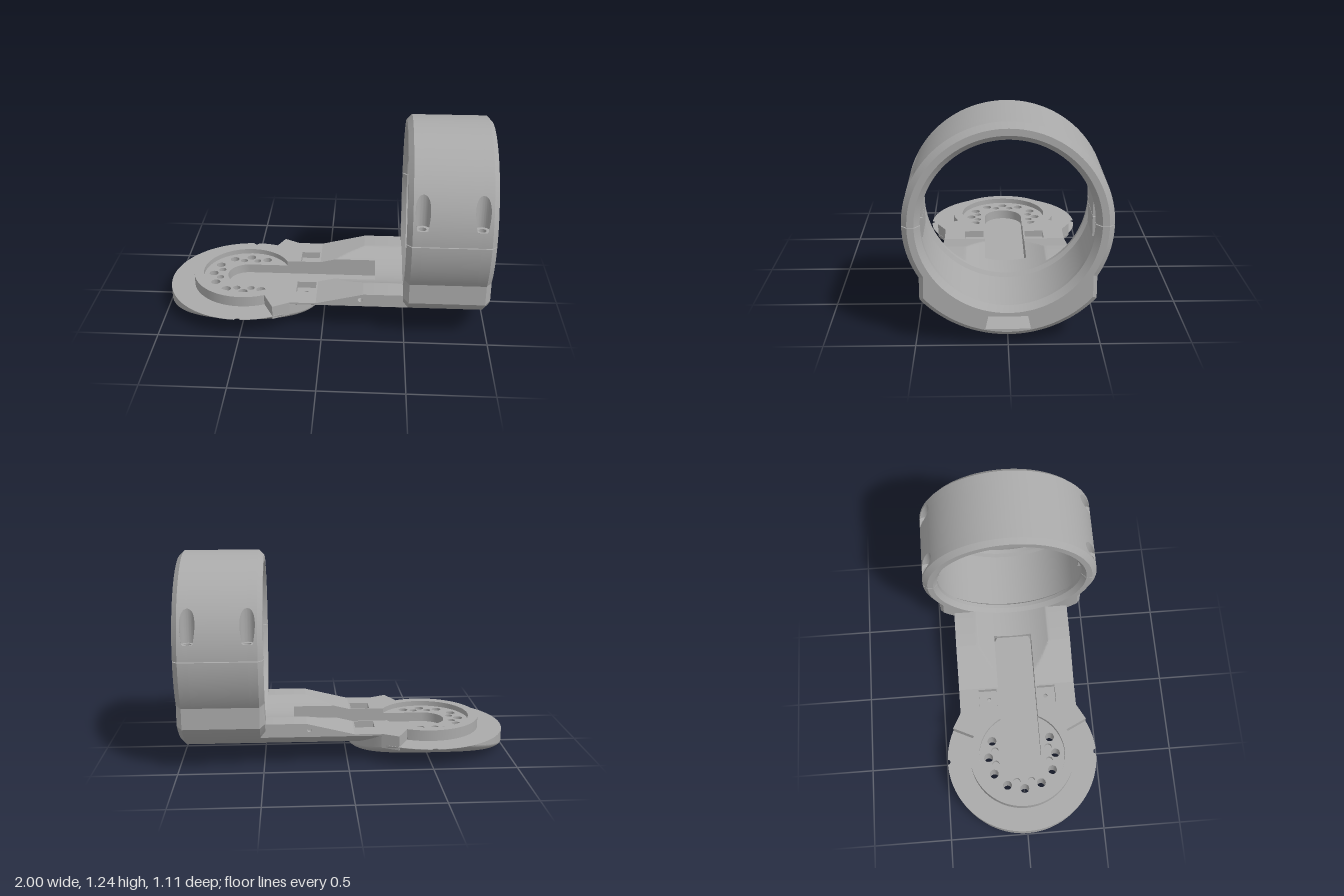
import * as THREE from 'three';
import { toCreasedNormals } from 'three/addons/utils/BufferGeometryUtils.js';
import { RoundedBoxGeometry } from 'three/addons/geometries/RoundedBoxGeometry.js';

const PI = Math.PI, CX = -0.51, DISC_R = 0.49, TOP = 0.187, LEDGE = 0.12, RECESS = 0.155, FLOOR = 0.096;
const CL = 0.681, CU = 0.686, RING_R = 0.557, LOW_R = 0.633, SLOT = 0.125, ARM = 0.385;
const X0 = 0.49, X1 = 1, CH = 0.03;

const lin = (a, b, n) => Array.from({ length: n + 1 }, (_, i) => a + (b - a) * i / n);
const clamp = (v) => Math.min(1, Math.max(0, v));

// surface through f(u, v) over two lists of parameters
function grid(us, vs, f) {
  const pos = [], idx = [], m = vs.length;
  us.forEach((u) => vs.forEach((v) => pos.push(...f(u, v))));
  for (let i = 0; i < us.length - 1; i++) for (let j = 0; j < m - 1; j++) {
    const a = i * m + j, b = a + m;
    idx.push(a, b, a + 1, b, b + 1, a + 1);
  }
  const g = new THREE.BufferGeometry();
  g.setAttribute('position', new THREE.Float32BufferAttribute(pos, 3));
  g.setIndex(idx);
  g.computeVertexNormals();
  return toCreasedNormals(g, 0.4);
}

// flat shape drawn in (x, z), laid at height y (number or rule)
function plate(shape, y) {
  const g = new THREE.ShapeGeometry(shape, 12), p = g.attributes.position;
  for (let i = 0; i < p.count; i++) {
    const x = p.getX(i), z = p.getY(i);
    p.setXYZ(i, x, typeof y === 'number' ? y : y(x, z), z);
  }
  const ix = g.index.array;
  for (let i = 0; i < ix.length; i += 3) [ix[i], ix[i + 1]] = [ix[i + 1], ix[i]];
  g.computeVertexNormals();
  return g;
}

const circle = (x, z, r) => new THREE.Path().absarc(x, z, r, 0, 2 * PI, true);
const tube = (x, z, r, lo, hi) => grid(lin(0, 2 * PI, 24), [0, 1], (a, t) => {
  const px = x + r * Math.cos(a), pz = z + r * Math.sin(a);
  const l = typeof lo === 'number' ? lo : lo(px, pz), h = typeof hi === 'number' ? hi : hi(px, pz);
  return [px, l + (h - l) * t, pz];
});

// underside of the disc, underside of the arm, upper face of the arm
function discBottom(x, z) {
  const t = clamp((Math.hypot(x - CX, z) - 0.38) / 0.11);
  return Math.min(0.118, z * z / 2.3 + 0.04 * (1 - Math.sqrt(1 - t * t)));
}
const armBottom = (z) => CL - Math.sqrt(LOW_R ** 2 - z * z);
const armTop = (x, z) => Math.min(TOP + 0.071 * clamp((x + 0.04) / 0.29),
  Math.abs(z) < 0.486 ? CL - Math.sqrt(0.486 ** 2 - z * z) : 9);

export function createModel() {
  const model = new THREE.Group();
  const grey = new THREE.MeshStandardMaterial({ color: 0xaaaaaa, side: THREE.DoubleSide });
  grey.name = 'grey';
  const add = (name, geo) => {
    const m = new THREE.Mesh(geo, grey);
    m.name = name;
    model.add(m);
    return m;
  };

  // --- disc: rounded underside, rim with two notches, ledge
  const edge = (a) => {
    const d = DISC_R * (Math.abs(a) - PI / 2);
    return DISC_R - Math.sqrt(Math.max(0, 0.017 ** 2 - d * d));
  };
  const polar = (a, r) => [CX + r * Math.cos(a), r * Math.sin(a)];
  const notch = lin(-0.036, 0.036, 10);
  const turns = [...lin(-PI, PI, 144), ...notch.map((d) => d + PI / 2), ...notch.map((d) => d - PI / 2)].sort((a, b) => a - b);
  const under = (a, r) => { const [x, z] = polar(a, r); return [x, discBottom(x, z), z]; };
  add('discUnderside', grid(turns, lin(0, 1, 20), (a, t) => under(a, 0.27 + (edge(a) - 0.27) * Math.sin(t * PI / 2))));
  add('discCentre', grid(lin(-PI, PI, 144), lin(0, 0.17, 4), under));
  add('discRim', grid(turns, [0, 1], (a, t) => {
    const [x, z] = polar(a, edge(a)), lo = discBottom(x, z);
    const hi = Math.abs(a) < 0.9 ? armBottom(z) + 0.01 : LEDGE;
    return [x, lo + (hi - lo) * t, z];
  }));
  for (const s of [1, -1]) add('discLedge', grid(turns.filter((a) => a > 0.88), [0, 1], (a, t) => {
    const [x, z] = polar(a, 0.3 + (edge(a) - 0.3) * t);
    return [x, LEDGE, s * z];
  }));

  // --- through holes and the sectors of the underside around them
  const through = [], blind = [];
  for (let k = 0; k < 12; k++) {
    const a = k * PI / 6, s = new THREE.Shape();
    s.absarc(CX, 0, 0.27, a - PI / 12, a + PI / 12, false);
    s.absarc(CX, 0, 0.17, a + PI / 12, a - PI / 12, true);
    if (k > 1 && k < 11) {
      const [x, z] = polar(a, 0.22);
      through.push([x, z]);
      s.holes.push(circle(x, z, 0.029));
      add('throughHole', tube(x, z, 0.029, discBottom, RECESS));
    }
    add('discSector', plate(s, discBottom));
  }
  for (const s of [1, -1]) for (const [x, z] of [[-0.68, 0.048], [-0.555, 0.175], [-0.465, 0.175]]) {
    blind.push([x, s * z]);
    add('blindHole', tube(x, s * z, 0.023, 0.12, RECESS));
    add('blindHoleFloor', plate(new THREE.Shape().absarc(x, s * z, 0.023, 0, 2 * PI), 0.12));
  }

  // --- recess floor and wall
  const beta = Math.asin(SLOT / 0.28), mouth = CX + 0.28 * Math.cos(beta);
  const recess = new THREE.Shape();
  recess.absarc(CX, 0, 0.28, beta, 2 * PI - beta, false);
  recess.lineTo(CX, -SLOT);
  recess.absarc(CX, 0, SLOT, -PI / 2, PI / 2, true);
  through.forEach(([x, z]) => recess.holes.push(circle(x, z, 0.029)));
  blind.forEach(([x, z]) => recess.holes.push(circle(x, z, 0.023)));
  add('recessFloor', plate(recess, RECESS));
  add('recessWall', grid(lin(beta, 2 * PI - beta, 72), [RECESS, TOP], (a, y) => { const [x, z] = polar(a, 0.28); return [x, y, z]; }));

  // --- raised collar with wings, flat upper face and pockets
  const half = [[-0.2, ARM], [-0.3, 0.44], [-0.365, 0.305]];
  const outline = [...half, ...lin(1.14, 2 * PI - 1.14, 72).map((a) => polar(a, 0.34)),
    ...half.map(([x, z]) => [x, -z]).reverse()];
  add('collarWall', grid(outline, [0.1, TOP], ([x, z], y) => [x, y, z]));
  const inner = lin(2 * PI - beta, beta, 72).map((a) => polar(a, 0.28));
  const deck = new THREE.Shape([[-0.04, ARM], ...outline, [-0.04, -ARM], [-0.04, -SLOT], ...inner, [-0.04, SLOT]]
    .map(([x, z]) => new THREE.Vector2(x, z)));
  for (const s of [1, -1]) {
    const c = [[-0.17, 0.135], [-0.05, 0.135], [-0.05, 0.255], [-0.17, 0.255]].map(([x, z]) => new THREE.Vector2(x, s * z));
    deck.holes.push(new THREE.Path(c));
    const floor = new THREE.Shape(c);
    floor.holes.push(circle(-0.11, s * 0.19, 0.014));
    add('pocketFloor', plate(floor, 0.145));
    add('pocketWall', grid([...c, c[0]], [0.145, TOP], (p, y) => [p.x, y, p.y]));
    add('pocketHole', tube(-0.11, s * 0.19, 0.014, 0.12, 0.145));
  }
  add('deck', plate(deck, TOP));

  // --- arm: sloped top with trough, curved underside, sides with a small hole
  for (const s of [1, -1]) {
    add('armTop', grid([...lin(-0.04, 0.25, 40), 0.52], lin(SLOT, ARM, 40), (x, z) => [x, armTop(x, z), s * z]));
    const side = new THREE.Shape();
    [[-0.2, 0.176], [0.52, 0.176], [0.52, 0.258], [0.25, 0.258], [-0.04, TOP], [-0.2, TOP]]
      .forEach(([x, y], i) => (i ? side.lineTo(x, y) : side.moveTo(x, y)));
    side.holes.push(circle(0.23, 0.22, 0.014));
    const g = new THREE.ShapeGeometry(side, 12);
    add('armSide', g).position.z = s * ARM;
    add('armSideHole', tube(0, 0, 0.014, -0.03, 0).rotateX(s * PI / 2).translate(0.23, 0.22, s * ARM));
  }
  add('troughFloor', grid([0.32, 0.52], lin(-SLOT, SLOT, 16), (x, z) => [x, armTop(x, z), z]));
  add('armUnderside', grid([-0.2, 0.52], lin(-ARM, ARM, 48), (x, z) => [x, armBottom(z), z]));

  // --- cable slot and the tunnel that carries it under the ring
  const run = [...lin(0.32, mouth, 40).map((x) => [x, SLOT, armTop(x, SLOT)]), [mouth, SLOT, RECESS],
    ...lin(PI / 2, PI, 16).map((a) => [CX + SLOT * Math.cos(a), SLOT * Math.sin(a), RECESS])];
  const path = [...run, ...run.map(([x, z, y]) => [x, -z, y]).reverse()];
  add('slotWall', grid(path, [0, 1], ([x, z, y], t) => [x, FLOOR + (y - FLOOR) * t, z]));
  const slot = new THREE.Shape().absarc(CX, 0, SLOT, PI / 2, PI * 1.5, false);
  slot.lineTo(0.32, -SLOT).lineTo(0.32, SLOT);
  add('slotFloor', plate(slot, FLOOR));
  add('slotEnd', grid(lin(-SLOT, SLOT, 16), [0, 1], (z, t) => [0.32, t ? armTop(0.32, z) : CL - 0.51, z]));
  const TAN = 0.21, open = Math.atan(TAN), tz = 0.51 * TAN, bz = 0.585 * TAN;
  const loop = [[tz, CL - 0.51], [-tz, CL - 0.51], [-bz, FLOOR], [bz, FLOOR], [tz, CL - 0.51]];
  add('tunnel', grid(loop, [0.32, X1], ([z, y], x) => [x, y, z]));

  // --- clamp ring, two halves around the x axis
  const section = [[X0, 0.49], [0.52, 0.463], [0.545, 0.463], [0.56, 0.485], [0.92, 0.485], [0.935, 0.46], [0.965, 0.46], [X1, 0.49]];
  const bolts = [0.575, 0.91], BZ = 0.518, BR = 0.043, BY = 0.78;
  function ringHalf(name, cy, s, rows, Ro, w) {
    const at = (x, r, a) => [x, cy + s * r * Math.sin(a), r * Math.cos(a)];
    add(name + 'Inside', grid(rows, section, (a, [x, r]) => at(x, r, a)));
    const xs = (a) => [X0 + CH, ...bolts.flatMap((b) => [b - w(a), b + w(a)]), X1 - CH];
    for (const k of [0, 2, 4]) add(name + 'Outside', grid(rows, [k, k + 1], (a, i) => at(xs(a)[i], Ro(a), a)));
    for (const [x, d] of [[X0, CH], [X1, -CH]]) {
      add(name + 'Chamfer', grid(rows, [0, 1], (a, t) => at(x + d * t, Ro(a) - CH * (1 - t), a)));
      const face = (rs, lo, hi) => add(name + 'Face', grid(rs, [lo, hi], (a, r) => at(x, r(a), a)));
      const rIn = () => 0.49, rOut = (a) => Ro(a) - CH;
      if (s > 0) { face(rows, rIn, rOut); continue; }
      const m = PI / 2, cut = lin(m - open, m + open, 16);
      face([...rows.filter((a) => a < m - open), m - open], rIn, rOut);
      face([m + open, ...rows.filter((a) => a > m + open)], rIn, rOut);
      face(cut, rIn, (a) => 0.51 / Math.sin(a));
      face(cut, (a) => 0.585 / Math.sin(a), rOut);
    }
    // parting faces
    const cap = new THREE.Shape([[X0, RING_R - CH], [X0 + CH, RING_R], [X1 - CH, RING_R], [X1, RING_R - CH], ...[...section].reverse()]
      .map(([x, z]) => new THREE.Vector2(x, z)));
    for (const m of [1, -1]) add(name + 'PartingFace', plate(cap, cy)).scale.z = m;
  }
  const lowR = (a) => {
    const c = Math.abs(Math.cos(a));
    return c * RING_R > 0.475 ? RING_R : c * LOW_R < 0.475 ? LOW_R : 0.475 / c;
  };
  const mirrorRows = (r) => [...r, ...r.map((a) => PI - a)].sort((a, b) => a - b);
  ringHalf('lowerRing', CL, -1, mirrorRows([...lin(0, PI / 2, 48), Math.acos(0.475 / RING_R), Math.acos(0.475 / LOW_R)]), lowR, () => 0);
  const b0 = Math.asin((BY - CU) / RING_R), b1 = Math.acos((BZ - BR) / RING_R);
  const boltGap = (a) => {
    const d = RING_R * Math.abs(Math.cos(a)) - BZ, lift = Math.min(a, PI - a);
    return lift < b0 - 1e-5 ? 0 : Math.sqrt(Math.max(0, BR * BR - d * d));
  };
  ringHalf('upperRing', CU, 1, mirrorRows([...lin(0, b0 - 1e-4, 6), ...lin(b0, b1, 32), ...lin(b1 + 0.01, PI / 2, 36)]), () => RING_R, boltGap);

  // --- bolt seats sunk into the upper half, and inside pads
  const seatLimit = Math.sqrt(RING_R ** 2 - (BY - CU) ** 2);
  for (const s of [1, -1]) {
    for (const b of bolts) {
      add('boltSeatWall', grid(lin(0, 2 * PI, 48), [0, 1], (a, t) => {
        const z = Math.min(seatLimit, BZ + BR * Math.cos(a));
        return [b + BR * Math.sin(a), BY + t * Math.max(0, CU + Math.sqrt(RING_R ** 2 - z * z) - BY), s * z];
      }));
      add('boltSeatFloor', grid(lin(0, 2 * PI, 36), [0.022, BR], (a, r) =>
        [b + r * Math.sin(a), BY, s * Math.min(seatLimit, BZ + r * Math.cos(a))]));
      add('boltHole', tube(b, s * BZ, 0.022, 0.72, BY));
      add('boltHoleFloor', plate(new THREE.Shape().absarc(b, s * BZ, 0.022, 0, 2 * PI), 0.72));
    }
    for (const [y, h] of [[CU + 0.055, 0.11], [CL - 0.055, 0.11]])
      add('sidePad', new THREE.BoxGeometry(0.22, h, 0.025)).position.set(0.74, y, s * 0.4675);
    for (const deg of [38, 66]) {
      const a = deg * PI / 180, pad = add('insidePad', new RoundedBoxGeometry(0.2, 0.15, 0.04, 3, 0.014));
      pad.position.set(0.74, CU + 0.485 * Math.sin(a), s * 0.485 * Math.cos(a));
      pad.rotation.x = -s * a;
    }
  }
  return model;
}
